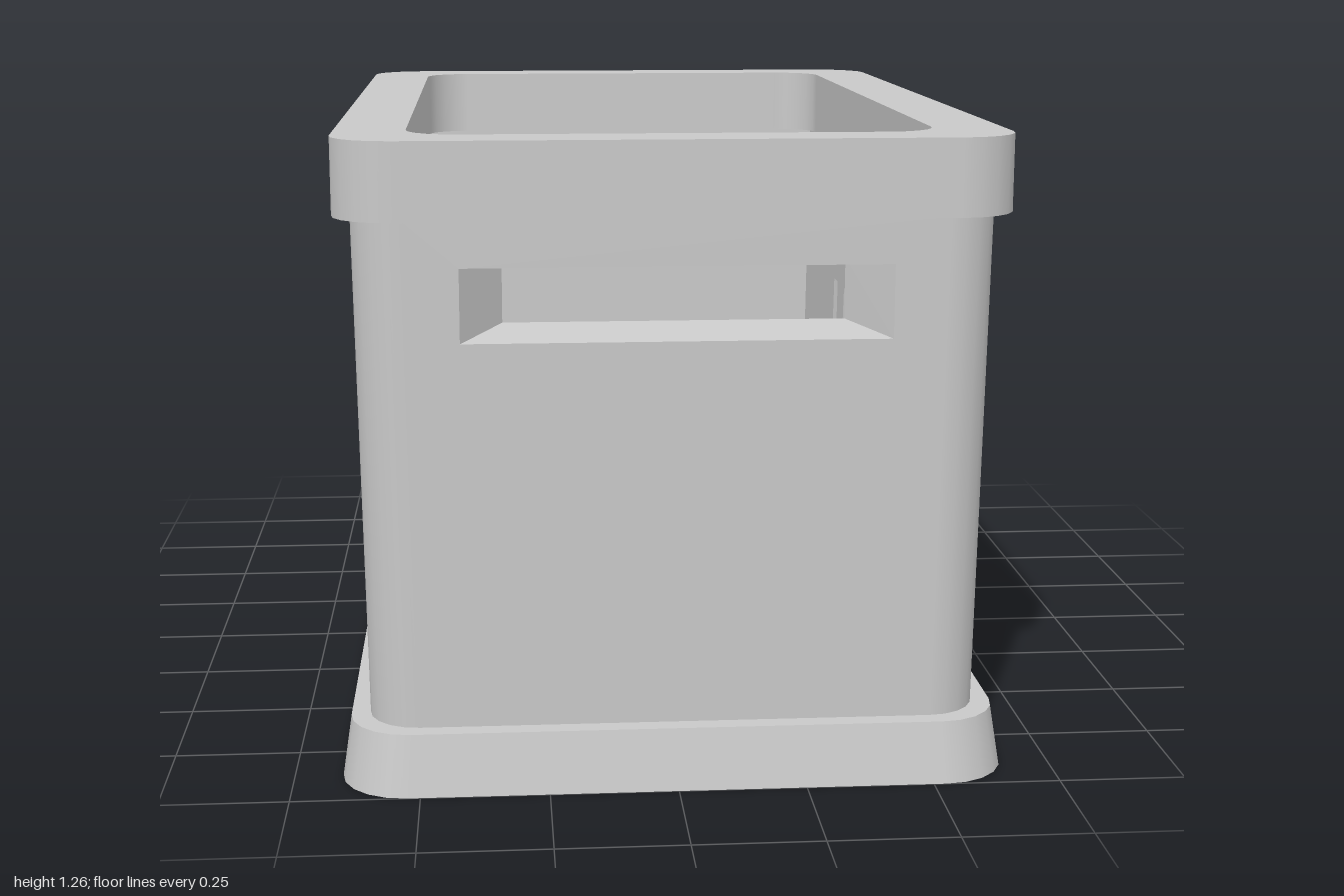
import * as THREE from 'three';

const ARC = 5; // segments per rounded corner
const FLOOR = 0.12, RIM = 1.11, TOP = 1.26, R = 0.1;
const lerpY = (a, b) => (y) => a + (b - a) * (y - FLOOR) / (RIM - FLOOR);
const outX = lerpY(0.6, 0.615), outZ = lerpY(0.94, 0.945);
const inX = lerpY(0.497, 0.51), inZ = lerpY(0.843, 0.85);

// Rounded rectangle at height y; every point also keeps its outward direction
function ring(hx, hz, r, y) {
  const pts = [];
  [[1, 1], [-1, 1], [-1, -1], [1, -1]].forEach(([sx, sz], q) => {
    for (let i = 0; i <= ARC; i++) {
      const a = (q + i / ARC) * Math.PI / 2, c = Math.cos(a), s = Math.sin(a);
      pts.push({ p: [sx * (hx - r) + r * c, y, sz * (hz - r) + r * s], c, s });
    }
  });
  return pts;
}

// Skin between rings, crisp at each ring and smooth around it
function loft(rings, cornersOnly = false) {
  const pos = [], nor = [], idx = [];
  for (let k = 0; k + 1 < rings.length; k++) {
    const A = rings[k], B = rings[k + 1], n = A.length, base = pos.length / 3;
    A.forEach((a, i) => {
      const b = B[i];
      const dr = (b.p[0] - a.p[0]) * a.c + (b.p[2] - a.p[2]) * a.s;
      const dy = b.p[1] - a.p[1];
      const v = new THREE.Vector3(a.c * dy, -dr, a.s * dy).normalize();
      pos.push(...a.p, ...b.p);
      nor.push(v.x, v.y, v.z, v.x, v.y, v.z);
    });
    for (let i = 0; i < n; i++) {
      if (cornersOnly && i % (ARC + 1) === ARC) continue;
      const a = base + 2 * i, d = base + 2 * ((i + 1) % n);
      idx.push(a, a + 1, d + 1, a, d + 1, d);
    }
  }
  const g = new THREE.BufferGeometry();
  g.setAttribute('position', new THREE.Float32BufferAttribute(pos, 3));
  g.setAttribute('normal', new THREE.Float32BufferAttribute(nor, 3));
  g.setIndex(idx);
  return g;
}

// Flat wall face pierced by holes, leaning with the draft of the crate
function wallFace(halfWidth, depth, holes, inward) {
  const v2 = (list) => list.map(([u, y]) => new THREE.Vector2(u, y));
  const w = halfWidth(FLOOR);
  const shape = new THREE.Shape(v2([[-w, FLOOR], [w, FLOOR], [w, RIM], [-w, RIM]]));
  holes.forEach((h) => shape.holes.push(new THREE.Path(v2(h))));
  const g = new THREE.ShapeGeometry(shape), p = g.attributes.position;
  for (let i = 0; i < p.count; i++) {
    const u = p.getX(i), y = p.getY(i);
    if (Math.abs(u) > w - 1e-5) p.setX(i, Math.sign(u) * halfWidth(y));
    p.setZ(i, depth(y));
  }
  if (inward) g.index.array.reverse();
  g.computeVertexNormals();
  return g;
}

// Sloping sides of the holes through the wall
function tunnels(holes, outer, inner) {
  const pos = [];
  holes.forEach(({ out, inn }) => {
    const O = out.map(([u, y]) => [u, y, outer(y)]), I = inn.map(([u, y]) => [u, y, inner(y)]);
    for (let i = 0; i < 4; i++) {
      const j = (i + 1) % 4;
      pos.push(...O[i], ...O[j], ...I[j], ...O[i], ...I[j], ...I[i]);
    }
  });
  const g = new THREE.BufferGeometry();
  g.setAttribute('position', new THREE.Float32BufferAttribute(pos, 3));
  g.computeVertexNormals();
  return g;
}

const rect = (w, y0, y1) => [[-w, y0], [w, y0], [w, y1], [-w, y1]];
const mirror = (pts) => pts.map(([u, y]) => [-u, y]).reverse();

export function createModel() {
  const crate = new THREE.Group();
  crate.name = 'crate';
  const plastic = new THREE.MeshStandardMaterial({ color: 0xc8c8c8 });
  plastic.name = 'grey plastic';
  const add = (name, geometry, parent = crate) => {
    const m = new THREE.Mesh(geometry, plastic);
    m.name = name;
    parent.add(m);
    return m;
  };

  // Flared foot with closed underside
  add('base', loft([
    ring(0, 0, 0, 0), ring(0.655, 1, 0.13, 0),
    ring(0.637, 0.977, 0.12, FLOOR), ring(outX(FLOOR), outZ(FLOOR), R, FLOOR),
  ]));

  // Rounded outer corners of the body
  add('bodyCorners', loft([
    ring(outX(FLOOR), outZ(FLOOR), R, FLOOR), ring(outX(RIM), outZ(RIM), R, RIM),
  ], true));

  // Thick rim with a rounded opening
  add('rim', loft([
    ring(outX(RIM), outZ(RIM), R, RIM), ring(0.649, 0.973, 0.12, RIM),
    ring(0.649, 0.973, 0.12, TOP), ring(0.51, 0.85, R, TOP),
    ring(0.51, 0.85, R, RIM), ring(0.51, 0.85, 0, RIM),
  ]));

  // Inside floor
  const floor = add('floor', new THREE.PlaneGeometry(2 * inX(FLOOR), 2 * inZ(FLOOR)));
  floor.rotation.x = -Math.PI / 2;
  floor.position.y = FLOOR;

  // Hand holds in all walls, six ventilation slots in each long wall
  const endHoles = [{ out: rect(0.41, 0.877, 1.02), inn: rect(0.33, 0.9, 1.02) }];
  const sideHoles = [{ out: rect(0.585, 0.885, 1.02), inn: rect(0.49, 0.9, 1.02) }];
  // near edge, far edge outside, far edge inside at bottom and top
  [[0.03, 0.138, 0.115, 0.103], [0.18, 0.28, 0.25, 0.22], [0.317, 0.42, 0.385, 0.37]]
    .forEach(([a, b, c, d]) => {
      const out = [[a, 0.23], [b, 0.23], [b - 0.008, 0.78], [a, 0.78]];
      const inn = [[a, 0.27], [c, 0.27], [d, 0.78], [a, 0.78]];
      sideHoles.push({ out, inn });
      // keep the corner order matched after mirroring
      sideHoles.push({ out: mirror(out), inn: mirror(inn) });
    });

  const walls = [
    ['frontWall', 0, endHoles, outX, inX, outZ, inZ],
    ['leftWall', 1, sideHoles, outZ, inZ, outX, inX],
    ['backWall', 2, endHoles, outX, inX, outZ, inZ],
    ['rightWall', 3, sideHoles, outZ, inZ, outX, inX],
  ];
  walls.forEach(([name, turn, holes, outW, inW, outD, inD]) => {
    const wall = new THREE.Group();
    wall.name = name;
    wall.rotation.y = turn * Math.PI / 2;
    add('outerFace', wallFace((y) => outW(y) - R, outD, holes.map((h) => h.out), false), wall);
    add('innerFace', wallFace(inW, inD, holes.map((h) => h.inn), true), wall);
    add('holeSides', tunnels(holes, outD, inD), wall);
    crate.add(wall);
  });

  return crate;
}
